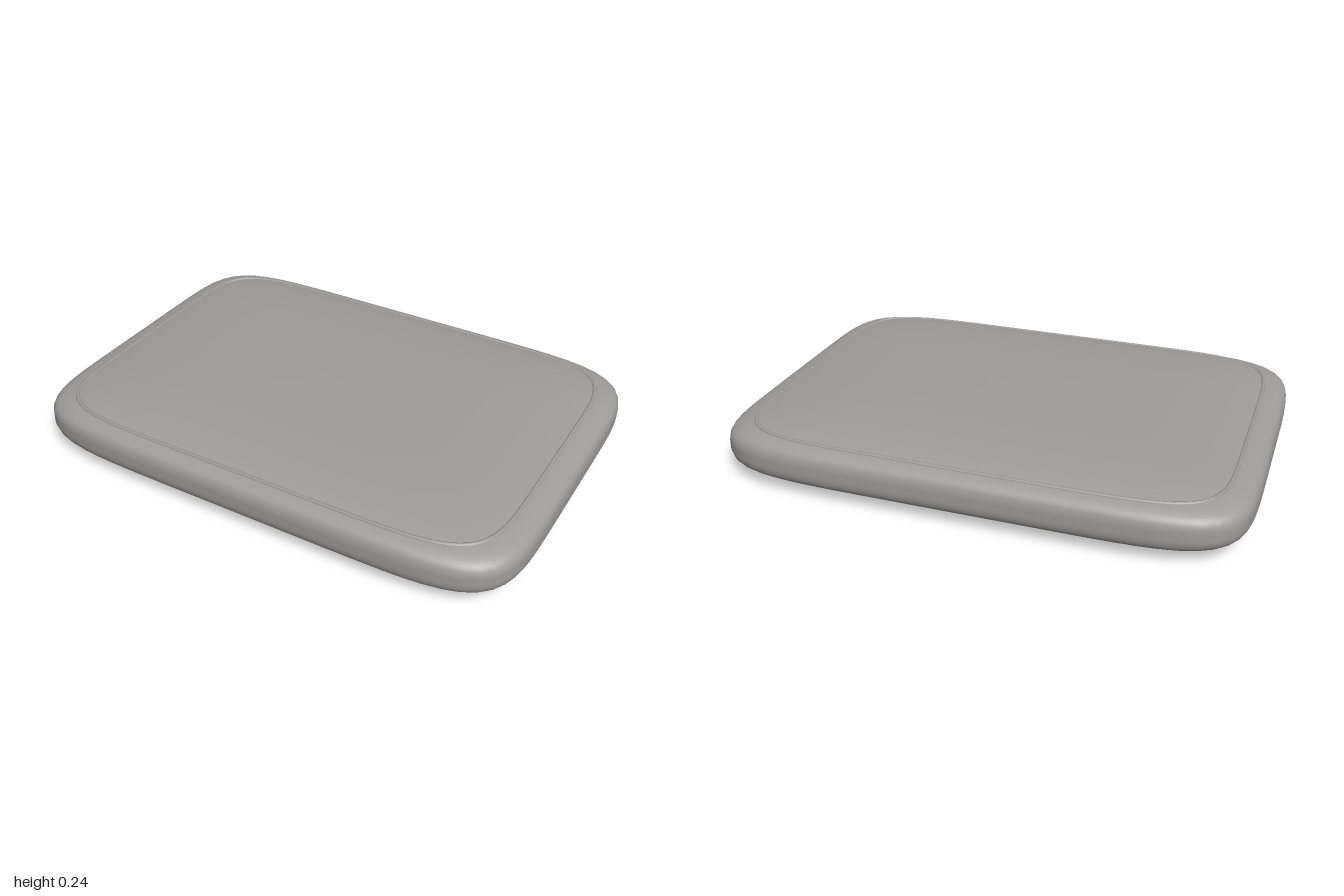
import * as THREE from 'three';

const HALF_X = 1, HALF_Z = 0.71, HEIGHT = 0.24, POWER = 7, SEGMENTS = 128;

// Point on the rounded-rectangle outline at angle a, shrunk by s
function outline(a, s, y) {
  const c = Math.cos(a), d = Math.sin(a);
  const r = s / Math.pow(Math.abs(c) ** POWER + Math.abs(d) ** POWER, 1 / POWER);
  return new THREE.Vector3(HALF_X * r * c, y, HALF_Z * r * d);
}

// Cushion body: outline rings stacked along a [scale, height] profile
function cushionGeometry() {
  const upper = [[1, 0.12], [0.998, 0.15], [0.985, 0.174], [0.955, 0.191], [0.905, 0.203],
    [0.8, 0.218], [0.6, 0.231], [0.3, 0.238], [0, HEIGHT]];
  const lower = upper.slice(1).reverse().map(([s, y]) => [s, HEIGHT - y]);
  const curve = new THREE.SplineCurve([...lower, ...upper].map(([s, y]) => new THREE.Vector2(s, y)));
  const profile = curve.getPoints(64);
  const positions = [], index = [];
  profile.forEach((p, row) => {
    for (let i = 0; i < SEGMENTS; i++) {
      const v = outline((i / SEGMENTS) * Math.PI * 2, Math.max(p.x, 0.0005), p.y);
      positions.push(v.x, v.y, v.z);
      if (row === profile.length - 1) continue;
      const a = row * SEGMENTS + i, b = row * SEGMENTS + ((i + 1) % SEGMENTS);
      index.push(a, a + SEGMENTS, b, b, a + SEGMENTS, b + SEGMENTS);
    }
  });
  const geometry = new THREE.BufferGeometry();
  geometry.setAttribute('position', new THREE.Float32BufferAttribute(positions, 3));
  geometry.setIndex(index);
  geometry.computeVertexNormals();
  return geometry;
}

// Thin cord that follows the seam
function pipingGeometry(y) {
  const points = [];
  for (let i = 0; i < 96; i++) points.push(outline((i / 96) * Math.PI * 2, 0.907, y));
  const path = new THREE.CatmullRomCurve3(points, true);
  return new THREE.TubeGeometry(path, 192, 0.008, 8, true);
}

export function createModel() {
  const fabric = new THREE.MeshStandardMaterial({ color: 0x9e9c99 });
  fabric.name = 'warm grey fabric';

  const group = new THREE.Group();
  group.name = 'cushion';
  const add = (name, geometry) => {
    const mesh = new THREE.Mesh(geometry, fabric);
    mesh.name = name;
    group.add(mesh);
  };

  add('cushionBody', cushionGeometry());
  add('topPiping', pipingGeometry(0.2));
  add('bottomPiping', pipingGeometry(HEIGHT - 0.2));
  return group;
}
